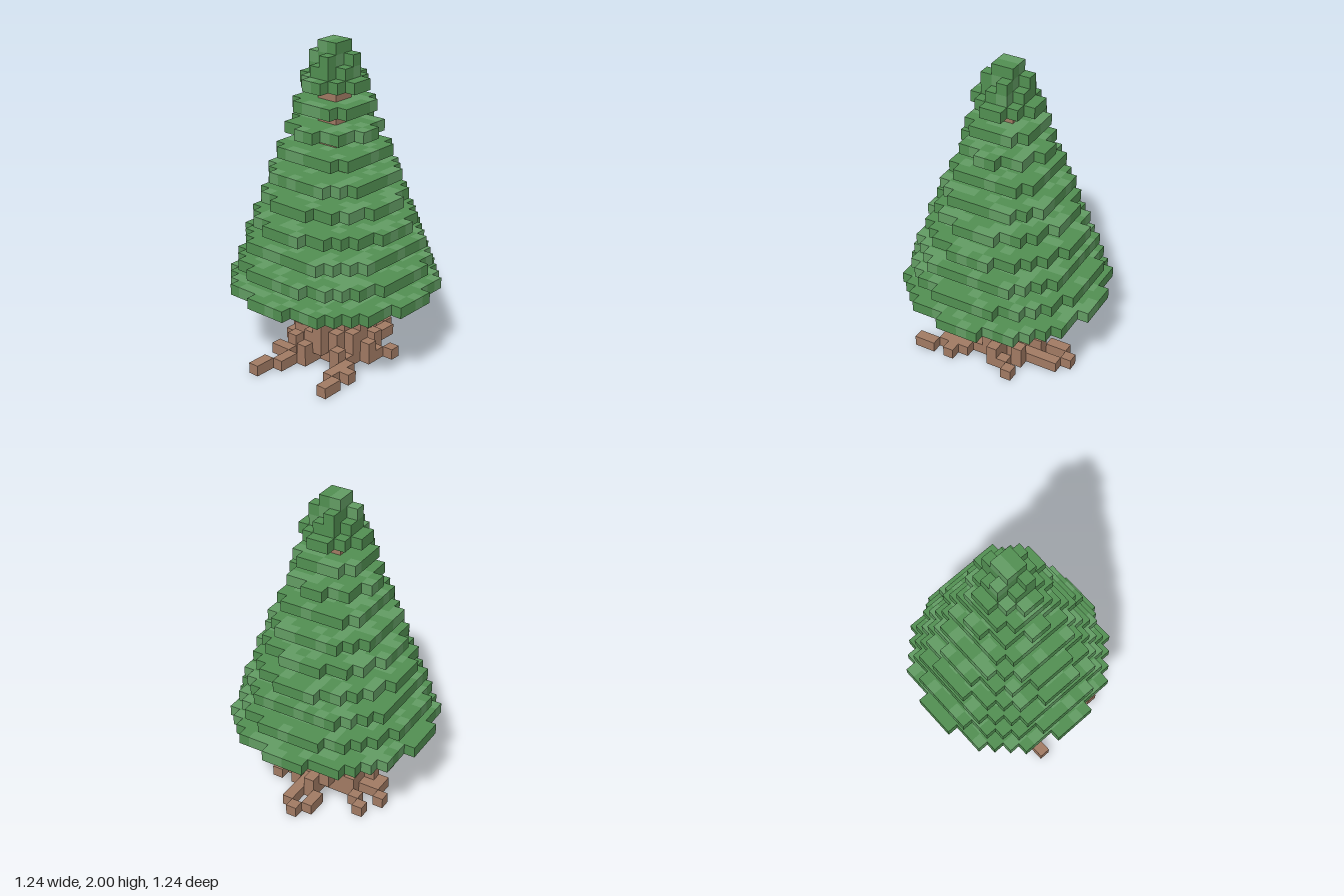
import * as THREE from 'three';
import { mergeGeometries } from 'three/addons/utils/BufferGeometryUtils.js';

const U = 2 / 29; // edge of one cube; the tree is 29 cubes tall
const key = (x, y, z) => `${x},${y},${z}`;

// One unit square per cube side, facing outwards
const SIDES = [[1, 0, 0], [-1, 0, 0], [0, 1, 0], [0, -1, 0], [0, 0, 1], [0, 0, -1]].map((n) => {
  const dir = new THREE.Vector3(...n);
  const turn = new THREE.Quaternion().setFromUnitVectors(new THREE.Vector3(0, 0, 1), dir);
  const square = new THREE.PlaneGeometry(1, 1).applyQuaternion(turn);
  return { n, square: square.translate(...dir.multiplyScalar(0.5).toArray()) };
});

// Calls fn for each cell of a round slice
function disc(radius, fn) {
  const r = Math.ceil(radius) + 1;
  for (let x = -r; x < r; x++) {
    for (let z = -r; z < r; z++) if (Math.hypot(x + 0.5, z + 0.5) <= radius) fn(x, z);
  }
}

// Repeatable pick of the lighter needles
function isLight(x, y, z) {
  const s = Math.sin(x * 12.99 + y * 37.72 + z * 78.23) * 43758.55;
  return s - Math.floor(s) < 0.35;
}

export function createModel() {
  const cells = new Map(); // cell -> part
  const put = (x, y, z, part) => {
    if (!cells.has(key(x, y, z))) cells.set(key(x, y, z), { x, y, z, part });
  };

  // Trunk: rounded below, two cubes wide near the top
  for (let y = 0; y < 26; y++) disc(y < 19 ? 2 : 1, (x, z) => put(x, y, z, 'trunk'));

  // Root flare: short columns against the trunk [x, z, bottom, top]
  const columns = [
    [-3, 0, 1, 5], [-3, -1, 1, 3], [2, -1, 1, 4], [2, 0, 0, 3], [0, 2, 1, 4], [-1, 2, 0, 3],
    [-1, -3, 1, 4], [0, -3, 0, 2], [1, 1, 0, 3], [-2, -2, 0, 3], [1, -2, 0, 2], [-2, 1, 0, 2],
    [-4, 0, 0, 2], [3, -1, 0, 2], [-1, 3, 0, 2], [0, -4, 0, 2], [2, 2, 0, 2], [-3, -2, 0, 2],
    [2, -3, 0, 2], [-3, 2, 0, 2],
  ];
  for (const [x, z, bottom, top] of columns) {
    for (let y = bottom; y < top; y++) put(x, y, z, 'roots');
  }

  // Creeping roots: runs of cubes along the ground, each through [x, z] points
  const paths = [
    [[-1, 3], [-2, 4], [-2, 5], [-3, 6], [-3, 7]],
    [[2, 2], [3, 4], [4, 5], [4, 6]],
    [[2, 1], [3, 2], [4, 3]],
    [[2, -1], [3, -2], [4, -3]],
    [[1, -3], [1, -6]],
    [[0, -3], [-1, -5], [-1, -6], [0, -7]],
    [[-3, -2], [-4, -3], [-5, -4]],
    [[-3, -1], [-5, -1], [-6, -2]],
    [[-3, 0], [-5, 0]],
    [[-2, 2], [-4, 3]],
  ];
  for (const path of paths) {
    for (let i = 1; i < path.length; i++) {
      const [[ax, az], [bx, bz]] = [path[i - 1], path[i]];
      const steps = Math.max(Math.abs(bx - ax), Math.abs(bz - az));
      for (let s = 0; s <= steps; s++) {
        const x = Math.round(ax + ((bx - ax) * s) / steps);
        put(x, 0, Math.round(az + ((bz - az) * s) / steps), 'roots');
      }
    }
  }

  // Crown: thin round tiers on every second level
  const leaf = (y) => (x, z) => put(x, y, z, isLight(x, y, z) ? 'lightNeedles' : 'darkNeedles');
  [8.8, 8.1, 7.4, 6.7, 6, 5.2, 4.5, 3.6, 3.2, 2.6].forEach((r, i) => disc(r, leaf(7 + 2 * i)));

  // Pointed top: round slice, pinwheel slice, tip
  disc(2, leaf(26));
  disc(1, leaf(27));
  for (const [x, z] of [[1, -1], [-2, 0], [0, 1], [-1, -2]]) leaf(27)(x, z);
  disc(1, leaf(28));

  // One mesh per part, made of the outward squares only
  const colors = { trunk: 0xa27b64, roots: 0xa27b64, darkNeedles: 0x529052, lightNeedles: 0x639d64 };
  const model = new THREE.Group();
  model.name = 'pineTree';
  for (const [part, color] of Object.entries(colors)) {
    const squares = [];
    for (const c of cells.values()) {
      if (c.part !== part) continue;
      for (const { n, square } of SIDES) {
        if (cells.has(key(c.x + n[0], c.y + n[1], c.z + n[2]))) continue;
        squares.push(square.clone().translate(c.x + 0.5, c.y + 0.5, c.z + 0.5));
      }
    }
    const geometry = mergeGeometries(squares).scale(U, U, U);
    const mesh = new THREE.Mesh(geometry, new THREE.MeshStandardMaterial({ color }));
    mesh.name = part;
    model.add(mesh);
  }
  return model;
}
